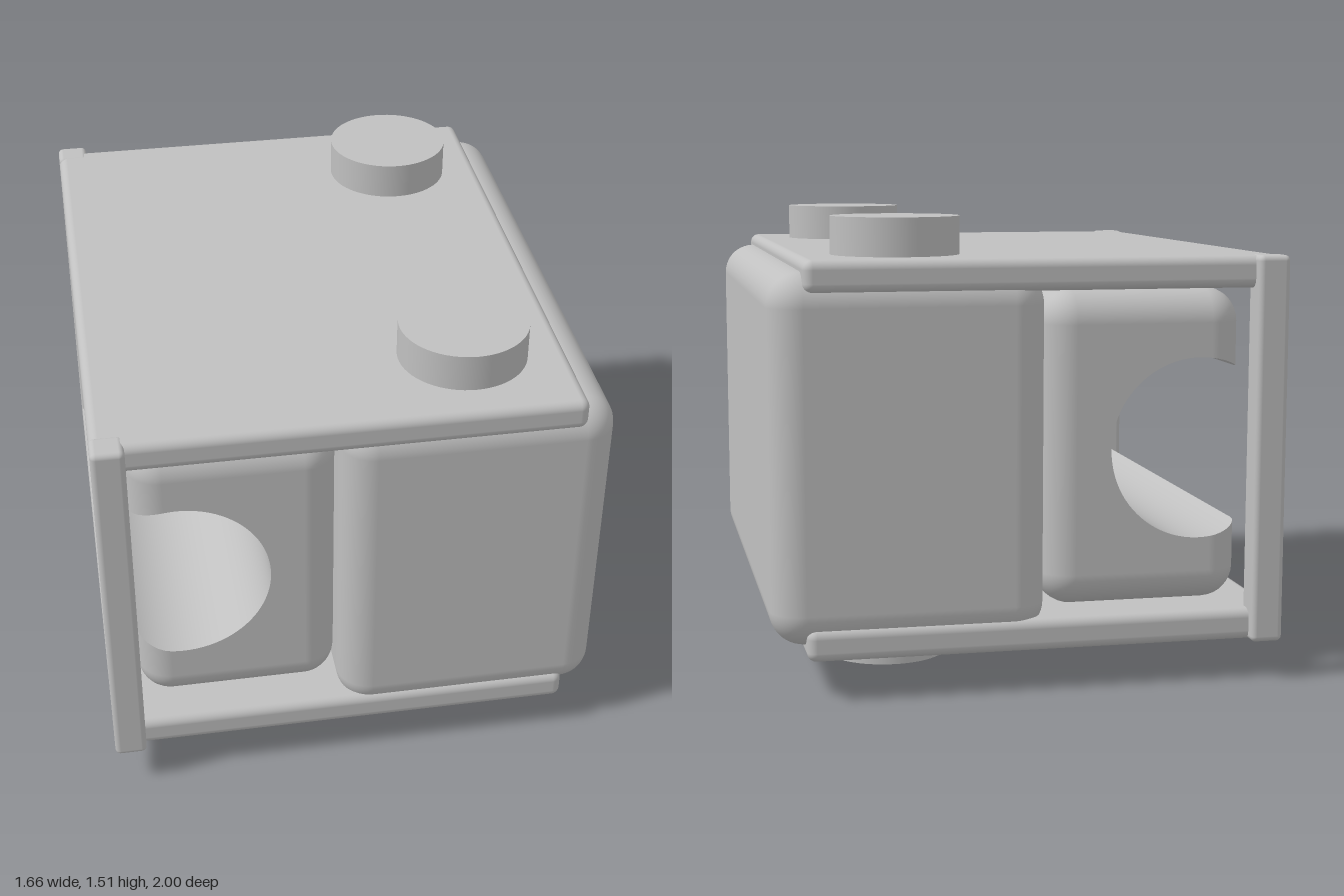
import * as THREE from 'three';
import { RoundedBoxGeometry } from 'three/addons/geometries/RoundedBoxGeometry.js';
import { mergeGeometries } from 'three/addons/utils/BufferGeometryUtils.js';

const grey = new THREE.MeshStandardMaterial({ color: 0xc0c0c0 });
grey.name = 'grey';

function add(group, name, geometry, x, y, z) {
  const mesh = new THREE.Mesh(geometry, grey);
  mesh.name = name;
  mesh.position.set(x, y, z);
  group.add(mesh);
}

// Rounded box given by its limits on each axis
function addBox(group, name, [x0, x1], [y0, y1], [z0, z1], radius) {
  const geometry = new RoundedBoxGeometry(x1 - x0, y1 - y0, z1 - z0, 6, radius);
  add(group, name, geometry, (x0 + x1) / 2, (y0 + y1) / 2, (z0 + z1) / 2);
}

// Skin between rows of [x, y, z, nx, ny, nz] points
function skin(rows) {
  const position = [], normal = [], uv = [], index = [];
  const n = rows[0].length;
  rows.forEach((row, k) => row.forEach((p, j) => {
    position.push(p[0], p[1], p[2]);
    normal.push(p[3], p[4], p[5]);
    uv.push(0, 0);
    if (k < rows.length - 1 && j < n - 1) {
      const a = k * n + j, b = a + 1, c = b + n, d = a + n;
      index.push(a, b, c, a, c, d);
    }
  }));
  const geometry = new THREE.BufferGeometry();
  geometry.setAttribute('position', new THREE.Float32BufferAttribute(position, 3));
  geometry.setAttribute('normal', new THREE.Float32BufferAttribute(normal, 3));
  geometry.setAttribute('uv', new THREE.Float32BufferAttribute(uv, 2));
  geometry.setIndex(index);
  return geometry;
}

// Filleted block, centred on z, with a round channel open on its -x side
function channelBlock(x0, x1, halfY, halfZ, r, holeX, holeR) {
  const outerRows = [], holeRows = [];
  const steps = 8;
  const layer = (a, z) => {
    const c = Math.cos(a), s = Math.sin(a);
    const left = x0 + r - r * c;
    const lip = Math.sqrt(holeR ** 2 - (left - holeX) ** 2);
    // Outer wall: lower lip, four rounded corners, upper lip
    const outer = [[left, -lip, z, -c, 0, s]];
    for (let q = 0; q < 4; q++) {
      const cx = q === 0 || q === 3 ? x0 + r : x1 - r;
      const cy = q < 2 ? -halfY + r : halfY - r;
      for (let i = 0; i <= steps; i++) {
        const t = Math.PI + (q + i / steps) * Math.PI / 2;
        const nx = Math.cos(t) * c, ny = Math.sin(t) * c;
        outer.push([cx + r * nx, cy + r * ny, z, nx, ny, s]);
      }
    }
    outer.push([left, lip, z, -c, 0, s]);
    outerRows.push(outer);
    // Channel wall: arc from upper lip to lower lip
    const t0 = Math.atan2(lip, left - holeX);
    const hole = [];
    for (let i = 0; i <= 48; i++) {
      const t = t0 * (1 - i / 24);
      hole.push([holeX + holeR * Math.cos(t), holeR * Math.sin(t), z, -Math.cos(t), -Math.sin(t), 0]);
    }
    holeRows.push(hole);
  };
  for (const side of [-1, 1]) {
    for (let i = 0; i <= steps; i++) {
      const a = (side < 0 ? i - steps : i) / steps * Math.PI / 2;
      layer(a, side * (halfZ - r) + r * Math.sin(a));
    }
  }
  // Flat ends
  const last = outerRows.length - 1;
  const outline = [...outerRows[last], ...holeRows[last].slice(1, -1)]
    .map(p => new THREE.Vector2(p[0], p[1]))
    .filter((p, i, all) => i === 0 || p.distanceTo(all[i - 1]) > 1e-6);
  const front = new THREE.ShapeGeometry(new THREE.Shape(outline)).translate(0, 0, halfZ);
  const back = front.clone().rotateX(Math.PI);
  return mergeGeometries([skin(outerRows), skin(holeRows), front, back]);
}

export function createModel() {
  const model = new THREE.Group();
  model.name = 'blockAssembly';

  // Large body and the channelled block beside it
  addBox(model, 'mainBody', [-0.055, 0.83], [0.165, 1.345], [-0.962, 0.962], 0.11);
  add(model, 'channelBlock', channelBlock(-0.725, -0.055, 0.518, 0.88, 0.11, -0.575, 0.297), 0, 0.755, 0);

  // Top and bottom plates
  addBox(model, 'topPlate', [-0.83, 0.72], [1.28, 1.383], [-0.965, 0.965], 0.03);
  addBox(model, 'bottomPlate', [-0.83, 0.72], [0.127, 0.23], [-0.965, 0.965], 0.03);

  // Corner posts and round studs
  const stud = new THREE.CylinderGeometry(0.21, 0.21, 0.135, 64);
  for (const side of [-1, 1]) {
    const z = side < 0 ? [-1, -0.9] : [0.9, 1];
    addBox(model, 'cornerPost', [-0.83, -0.725], [0.125, 1.385], z, 0.018);
    add(model, 'topStud', stud, 0.385, 1.4395, side * 0.63);
    add(model, 'bottomStud', stud, 0.385, 0.0675, side * 0.37);
  }
  return model;
}
